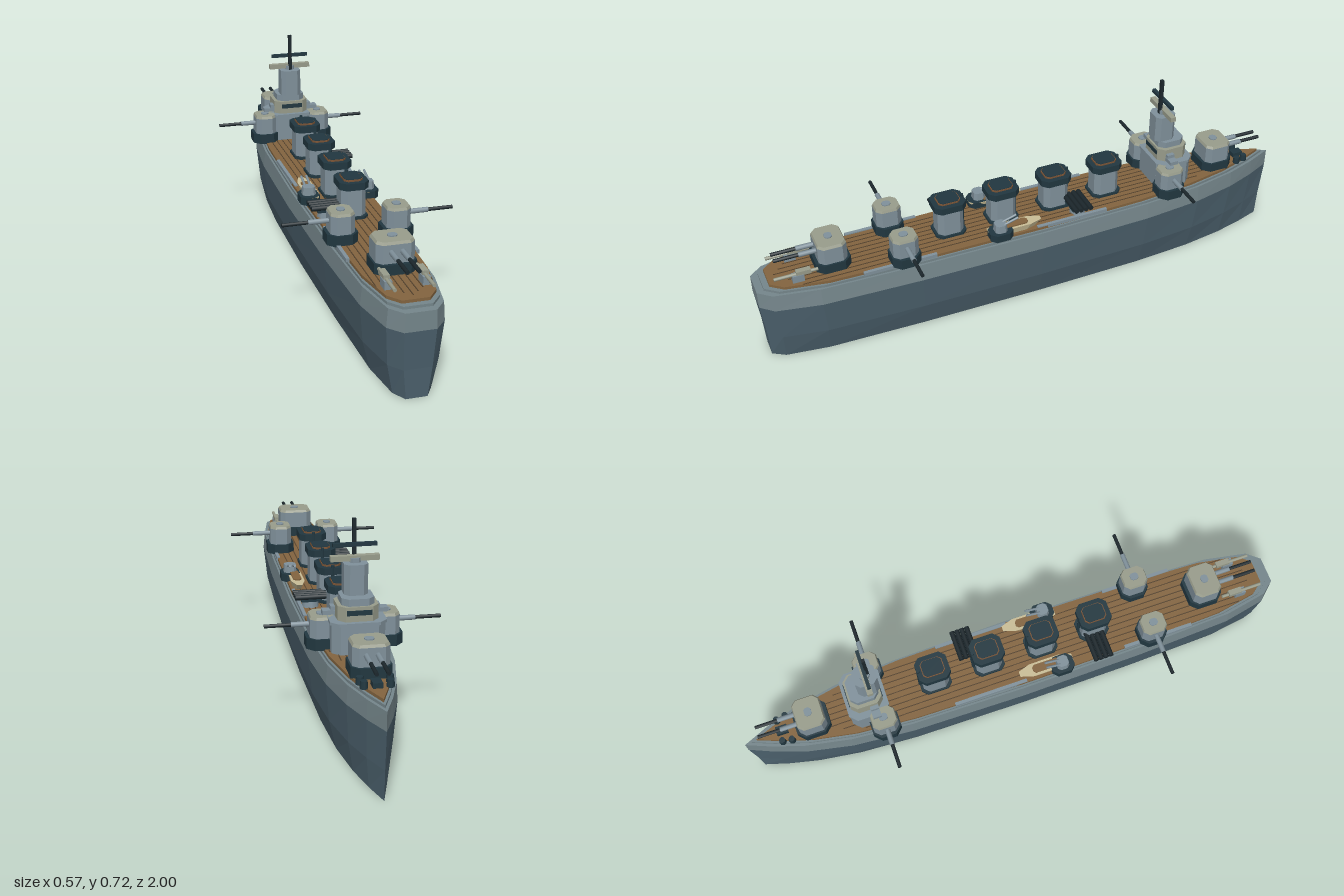
import * as THREE from 'three';

const mat = (name, color) => {
  const m = new THREE.MeshStandardMaterial({ color });
  m.name = name;
  return m;
};

export function createModel() {
  const ship = new THREE.Group();
  ship.name = 'warship';
  const M = {
    hull: mat('slate hull', 0x4c616d),
    band: mat('hull band grey', 0x75868b),
    grey: mat('blue grey', 0x80919b),
    pale: mat('pale stone grey', 0x989c8b),
    dark: mat('dark teal', 0x213740),
    gun: mat('gun metal', 0x1c272c),
    wood: mat('deck wood', 0x83643f),
    seam: mat('dark wood', 0x55432e),
    rust: mat('funnel rust', 0x7a5436),
    cream: mat('cream', 0xc9bd96),
  };

  const add = (parent, name, geo, material, x = 0, y = 0, z = 0) => {
    const mesh = new THREE.Mesh(geo, material);
    mesh.name = name;
    mesh.position.set(x, y, z);
    parent.add(mesh);
    return mesh;
  };
  const group = (name, x = 0, y = 0, z = 0, turn = 0) => {
    const g = new THREE.Group();
    g.name = name;
    g.position.set(x, y, z);
    g.rotation.y = turn;
    ship.add(g);
    return g;
  };

  // Flat-faced solid through convex rings stacked upwards, each running +x along its +z side
  const loft = (rings) => {
    const v = [];
    const tri = (a, b, c) => v.push(...a, ...b, ...c);
    const n = rings[0].length;
    for (let r = 0; r + 1 < rings.length; r++) {
      for (let i = 0; i < n; i++) {
        const j = (i + 1) % n, a = rings[r], b = rings[r + 1];
        tri(a[i], a[j], b[j]);
        tri(a[i], b[j], b[i]);
      }
    }
    const top = rings[rings.length - 1], low = rings[0];
    for (let i = 1; i + 1 < n; i++) {
      tri(top[0], top[i], top[i + 1]);
      tri(low[0], low[i + 1], low[i]);
    }
    const g = new THREE.BufferGeometry();
    g.setAttribute('position', new THREE.Float32BufferAttribute(v, 3));
    g.computeVertexNormals();
    return g;
  };

  // Box with cut vertical corners, standing on y0
  const cutRing = (w, d, c, y) => {
    const a = w / 2, b = d / 2;
    return [[a - c, b], [a, b - c], [a, c - b], [a - c, -b], [c - a, -b], [-a, c - b], [-a, b - c], [c - a, b]]
      .map(([x, z]) => [x, y, z]);
  };
  const cutBox = (w, d, c, y0, y1, taper = 1) =>
    loft([cutRing(w, d, c, y0), cutRing(w * taper, d * taper, c * taper, y1)]);
  const box = (w, h, d) => new THREE.BoxGeometry(w, h, d);
  const rod = (r, len) => new THREE.CylinderGeometry(r, r, len, 8).rotateX(Math.PI / 2);

  // Hull: half-breadths from stern to bow, scaled at each level
  const half = [[1, 0.05], [0.955, 0.09], [0.8, 0.121], [0.45, 0.135], [0, 0.14], [-0.42, 0.132],
    [-0.64, 0.112], [-0.8, 0.078], [-0.91, 0.04]];
  const hullRing = (y, sx, sz) => [
    ...half.map(([z, x]) => [x * sx, y, z * sz]),
    [0, y, -sz],
    ...half.slice().reverse().map(([z, x]) => [-x * sx, y, z * sz]),
  ];
  add(ship, 'lowerHull', loft([hullRing(0, 0.68, 0.982), hullRing(0.1, 0.89, 0.987), hullRing(0.23, 1, 1)]), M.hull);
  add(ship, 'upperHull', loft([hullRing(0.23, 1, 1), hullRing(0.292, 0.95, 1)]), M.band);
  add(ship, 'deckEdge', loft([hullRing(0.292, 0.9, 0.975), hullRing(0.301, 0.9, 0.975)]), M.band);
  add(ship, 'woodDeck', loft([hullRing(0.301, 0.86, 0.955), hullRing(0.311, 0.86, 0.955)]), M.wood);

  // Plank seams and side strips
  for (let i = -4; i <= 4; i++) {
    const bow = -0.88 + Math.abs(i) * 0.075, stern = 0.93 - Math.abs(i) * 0.02;
    add(ship, 'plankSeam', box(0.003, 0.002, stern - bow), M.seam, i * 0.022, 0.3115, (stern + bow) / 2);
  }
  for (const s of [-1, 1]) {
    for (const [z, len] of [[0.52, 0.26], [-0.12, 0.27]]) {
      add(ship, 'sideStrip', box(0.012, 0.012, len), M.grey, s * 0.114, 0.309, z);
    }
  }

  // Gun turret facing +z before turning
  const turret = (name, x, z, turn, w, d, reach, sleeve, barrels) => {
    const g = group(name, x, 0, z, turn);
    add(g, 'turretBase', cutBox(w + 0.012, d + 0.022, 0.025, 0.308, 0.345), M.dark);
    add(g, 'gunHouse', cutBox(w, d, 0.018, 0.345, 0.406), M.grey);
    add(g, 'gunHouseRoof', cutBox(w, d, 0.018, 0.406, 0.415, 0.92), M.pale);
    add(g, 'roofHatch', cutBox(0.03, 0.026, 0.007, 0.415, 0.419), M.grey);
    for (const bx of barrels) {
      add(g, 'barrelSleeve', rod(0.009, sleeve), M.grey, bx, 0.382, sleeve / 2);
      add(g, 'barrel', rod(0.0065, reach - 0.04), M.gun, bx, 0.382, (reach + 0.04) / 2);
    }
  };
  turret('sternTurret', 0, 0.732, 0, 0.124, 0.1, 0.195, 0.11, [-0.018, 0.018]);
  turret('bowTurret', 0, -0.75, Math.PI, 0.116, 0.1, 0.19, 0.11, [-0.018, 0.018]);
  for (const s of [-1, 1]) {
    turret('aftWingTurret', s * 0.093, 0.498, s * Math.PI / 2, 0.09, 0.08, 0.192, 0.107, [0]);
    turret('foreWingTurret', s * 0.105, -0.51, s * Math.PI / 2, 0.09, 0.078, 0.18, 0.095, [0]);
  }

  // Four funnels
  for (const z of [0.305, 0.107, -0.095, -0.295]) {
    const g = group('funnel', 0, 0, z);
    add(g, 'funnelFoot', cutBox(0.096, 0.112, 0.018, 0.308, 0.32), M.dark);
    add(g, 'funnelBody', cutBox(0.084, 0.094, 0.018, 0.32, 0.418), M.grey);
    add(g, 'funnelCap', cutBox(0.1, 0.115, 0.02, 0.416, 0.441), M.dark);
    add(g, 'funnelLip', cutBox(0.064, 0.08, 0.012, 0.441, 0.447), M.rust);
    add(g, 'funnelMouth', cutBox(0.06, 0.074, 0.011, 0.447, 0.449), M.dark);
    add(g, 'funnelPipe', new THREE.CylinderGeometry(0.006, 0.006, 0.13, 8), M.dark, 0, 0.384, -0.053);
  }

  // Torpedo launchers trained abeam
  for (const [x, z] of [[0.08, -0.155], [-0.085, 0.297]]) {
    const g = group('torpedoLauncher', x, 0, z);
    add(g, 'launcherPivot', new THREE.CylinderGeometry(0.026, 0.03, 0.028, 8), M.grey, 0, 0.324, 0);
    add(g, 'launcherBed', box(0.07, 0.008, 0.066), M.dark, 0, 0.339, 0);
    for (let i = 0; i < 4; i++) {
      add(g, 'torpedoTube', rod(0.009, 0.112).rotateY(Math.PI / 2), M.gun, 0, 0.351, (i - 1.5) * 0.0185);
    }
  }

  // Bridge tower
  const bridge = group('bridge', 0, 0, -0.548);
  add(bridge, 'bridgeBase', cutBox(0.17, 0.138, 0.025, 0.308, 0.405), M.grey);
  add(bridge, 'bridgeBaseRoof', cutBox(0.18, 0.144, 0.025, 0.405, 0.415), M.grey);
  add(bridge, 'bridgeMiddle', cutBox(0.13, 0.115, 0.022, 0.415, 0.463), M.pale);
  add(bridge, 'bridgeStep', cutBox(0.104, 0.1, 0.02, 0.463, 0.486), M.grey);
  add(bridge, 'bridgeTower', cutBox(0.076, 0.078, 0.016, 0.486, 0.585), M.grey, 0, 0, 0.022);
  add(bridge, 'bridgeWing', box(0.21, 0.014, 0.03), M.grey, 0, 0.427, 0.02);
  for (const s of [-1, 1]) add(bridge, 'wingPost', box(0.022, 0.026, 0.028), M.grey, s * 0.068, 0.434, 0.02);
  // Window strips ahead and astern
  for (const s of [-1, 1]) add(bridge, 'windowStrip', box(0.08, 0.016, 0.006), M.dark, 0, 0.444, s * 0.057);
  // Rangefinder, mast and yard
  add(bridge, 'rangefinder', box(0.156, 0.017, 0.02), M.pale, 0, 0.598, 0.022);
  add(bridge, 'rangefinderFoot', cutBox(0.034, 0.034, 0.008, 0.585, 0.6), M.grey, 0, 0, 0.022);
  add(bridge, 'mast', box(0.012, 0.136, 0.012), M.gun, 0, 0.653, 0.034);
  add(bridge, 'mastYard', box(0.14, 0.012, 0.012), M.dark, 0, 0.64, 0.025);

  for (const s of [-1, 1]) {
    // Lifeboats with pointed ends
    const plan = [[0.012, 0.1], [0.024, 0.055], [0.024, -0.055], [0.01, -0.1], [-0.01, -0.1], [-0.024, -0.055],
      [-0.024, 0.055], [-0.012, 0.1]];
    const boatRing = (y, k) => plan.map(([x, z]) => [x * k, y, z * k]);
    const boat = group('lifeboat', s * 0.092, 0, 0.095);
    add(boat, 'boatHull', loft([boatRing(0.311, 0.75), boatRing(0.335, 1)]), M.cream);
    add(boat, 'boatCover', cutBox(0.03, 0.1, 0.008, 0.335, 0.34), M.wood);

    // Light guns amidships
    const aa = group('lightGun', s * 0.105, 0, 0.152);
    add(aa, 'gunPlatform', cutBox(0.068, 0.084, 0.018, 0.308, 0.336), M.dark);
    add(aa, 'gunShield', cutBox(0.046, 0.044, 0.01, 0.336, 0.364, 0.9), M.grey);
    for (const b of [-0.009, 0.009]) {
      const barrel = add(aa, 'lightBarrel', rod(0.0045, 0.07), M.grey, b, 0.366, -0.03);
      barrel.rotation.x = 0.3;
    }

    // Stern deck guns
    const deckGun = group('sternDeckGun', s * 0.06, 0, 0.86);
    add(deckGun, 'gunPost', box(0.024, 0.03, 0.04), M.grey, 0, 0.323, 0);
    add(deckGun, 'gunBody', box(0.02, 0.016, 0.05), M.pale, 0, 0.343, -0.02);
    add(deckGun, 'gunBarrel', rod(0.006, 0.15), M.pale, 0, 0.338, 0.005);

    // Capstans and bollards on the bow
    for (const [x, z] of [[0.046, -0.835], [0.04, -0.868]]) {
      add(ship, 'bollard', new THREE.CylinderGeometry(0.011, 0.013, 0.024, 8), M.dark, s * x, 0.322, z);
    }
  }
  add(ship, 'bowWinch', box(0.03, 0.018, 0.04), M.dark, 0, 0.319, -0.86);

  return ship;
}
